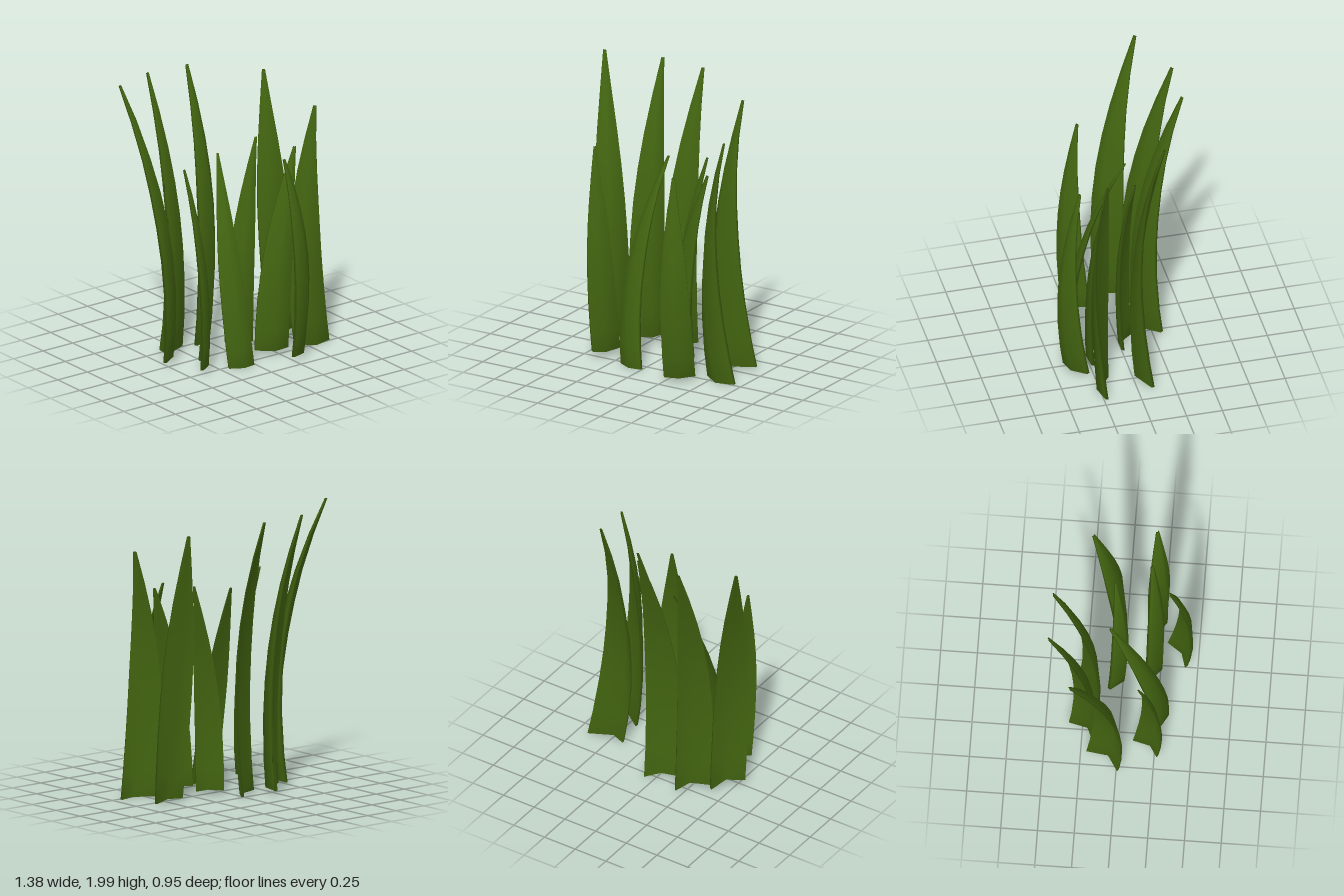
import * as THREE from 'three';

// Each blade: base height, front of the base section (left edge, ridge, right edge) as [x, z],
// centre of the section at 38% of the height as [x, z], tip [x, y, z] and twist towards the tip
const BLADES = [
  { y0: 0.05, left: [-0.53, 0.02], ridge: [-0.42, -0.05], right: [-0.40, -0.20], mid: [-0.48, -0.06], tip: [-0.68, 2.00, -0.30], twist: 0.5 },
  { y0: 0.04, left: [-0.37, -0.14], ridge: [-0.23, -0.20], right: [-0.20, -0.33], mid: [-0.285, -0.22], tip: [-0.32, 1.96, -0.47], twist: 0.3 },
  { y0: 0.03, left: [-0.135, -0.16], ridge: [0.00, -0.20], right: [0.07, -0.30], mid: [-0.015, -0.20], tip: [0.005, 1.95, -0.46], twist: 0.3 },
  { y0: 0.03, left: [0.40, -0.05], ridge: [0.50, -0.01], right: [0.66, -0.09], mid: [0.445, -0.05], tip: [0.47, 1.88, -0.22], twist: 0.8 },
  { y0: 0.01, left: [0.44, 0.18], ridge: [0.56, 0.27], right: [0.685, 0.24], mid: [0.487, 0.225], tip: [0.585, 1.72, 0.205], twist: 0.8 },
  { y0: 0.04, left: [0.11, 0.17], ridge: [0.21, 0.26], right: [0.33, 0.25], mid: [0.25, 0.22], tip: [0.435, 1.45, 0.18], twist: 0.2 },
  { y0: 0.04, left: [0.04, -0.08], ridge: [0.11, 0.01], right: [0.21, 0.01], mid: [0.13, -0.015], tip: [0.285, 1.48, -0.06], twist: 0.2 },
  { y0: 0.05, left: [-0.41, 0.28], ridge: [-0.33, 0.23], right: [-0.30, 0.11], mid: [-0.375, 0.235], tip: [-0.475, 1.48, 0.155], twist: 0.4 },
  { y0: 0.04, left: [0.25, 0.43], ridge: [0.35, 0.40], right: [0.42, 0.30], mid: [0.33, 0.42], tip: [0.25, 1.44, 0.315], twist: 0.4 },
  { y0: 0.01, left: [-0.19, 0.28], ridge: [-0.10, 0.33], right: [-0.01, 0.32], mid: [-0.13, 0.235], tip: [-0.03, 1.43, -0.07], twist: 0.2 },
];

// Height fraction and width factor of each cross-section
const RINGS = [[0, 1], [0.1, 1], [0.25, 0.97], [0.38, 0.91], [0.5, 0.83], [0.62, 0.7], [0.74, 0.53], [0.87, 0.31], [1, 0.08]];
const MID = 0.38;
const THICKNESS = 0.022;

// Quadratic through a at t = 0, b at t = MID and c at t = 1
function bend(a, b, c, t) {
  return a * (t - MID) * (t - 1) / MID
    + b * t * (t - 1) / (MID * (MID - 1))
    + c * t * (t - MID) / (1 - MID);
}

function bladeGeometry({ y0, left, ridge, right, mid, tip, twist }) {
  const centre = [(left[0] + right[0]) / 2, (left[1] + right[1]) / 2];
  const dx = right[0] - left[0];
  const dz = right[1] - left[1];
  const chord = Math.hypot(dx, dz);
  const backward = [dz / chord, -dx / chord];

  // Folded front face, then the parallel back face in reverse: [point, depth]
  const section = [[left, 0], [ridge, 0], [right, 0], [right, 1], [ridge, 1], [left, 1]];
  const n = section.length;
  const positions = [];
  const indices = [];

  for (const [t, width] of RINGS) {
    const x = bend(centre[0], mid[0], tip[0], t);
    const z = bend(centre[1], mid[1], tip[2], t);
    const y = y0 + (tip[1] - y0) * t;
    const thickness = THICKNESS * Math.max(width, 0.5);
    const cos = Math.cos(twist * t);
    const sin = Math.sin(twist * t);
    for (const [p, depth] of section) {
      const u = (p[0] - centre[0]) * width + backward[0] * thickness * depth;
      const v = (p[1] - centre[1]) * width + backward[1] * thickness * depth;
      positions.push(x + u * cos - v * sin, y, z + u * sin + v * cos);
    }
  }

  // Sides
  for (let r = 0; r < RINGS.length - 1; r++) {
    for (let i = 0; i < n; i++) {
      const a = r * n + i;
      const b = r * n + (i + 1) % n;
      indices.push(a, b, b + n, a, b + n, a + n);
    }
  }
  // Bottom and top caps, one quad on each side of the fold
  const top = (RINGS.length - 1) * n;
  for (const [a, b, c, d] of [[0, 1, 4, 5], [1, 2, 3, 4]]) {
    indices.push(a, d, c, a, c, b);
    indices.push(top + a, top + b, top + c, top + a, top + c, top + d);
  }

  const geometry = new THREE.BufferGeometry();
  geometry.setAttribute('position', new THREE.Float32BufferAttribute(positions, 3));
  geometry.setIndex(indices);
  geometry.computeVertexNormals();
  return geometry;
}

export function createModel() {
  const group = new THREE.Group();
  group.name = 'grassTuft';
  const green = new THREE.MeshStandardMaterial({ color: 0x426410 });
  green.name = 'grassGreen';

  BLADES.forEach((blade, i) => {
    const mesh = new THREE.Mesh(bladeGeometry(blade), green);
    mesh.name = `grassBlade${i + 1}`;
    group.add(mesh);
  });
  return group;
}
